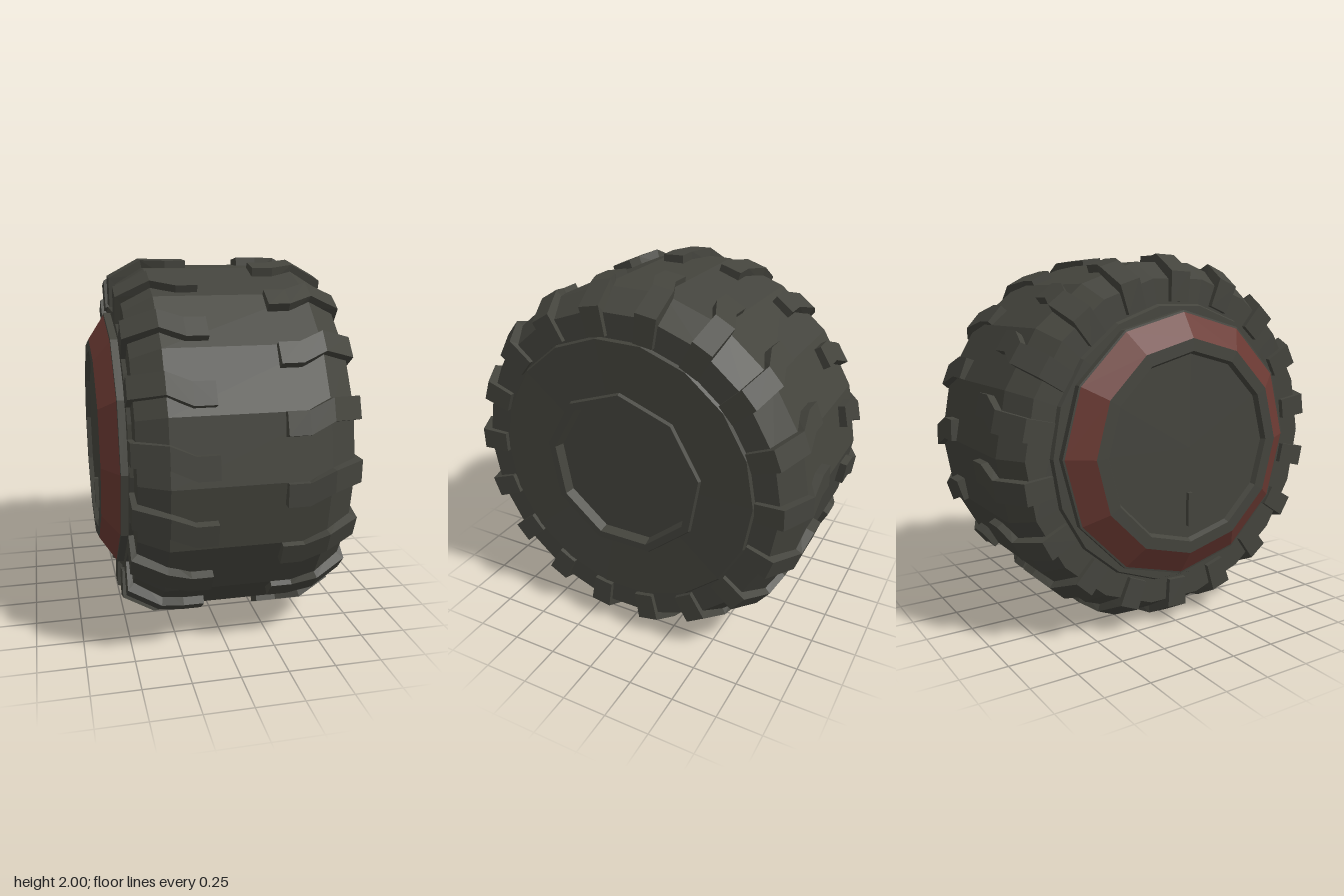
import * as THREE from 'three';

const rubber = new THREE.MeshStandardMaterial({ color: 0x44443d });
rubber.name = 'dark rubber';
const red = new THREE.MeshStandardMaterial({ color: 0x6c3a33 });
red.name = 'rim red';

// Faceted solid of revolution about the x axis; profile is [radius, x] from -x to +x
function turned(name, profile, sides, material, start = 0) {
  const points = profile.map(([r, x]) => new THREE.Vector2(r, x));
  const geometry = new THREE.LatheGeometry(points, sides, start).rotateZ(-Math.PI / 2).toNonIndexed();
  geometry.computeVertexNormals();
  const mesh = new THREE.Mesh(geometry, material);
  mesh.name = name;
  return mesh;
}

// Kinked tread lug swept over the shoulder and down the sidewall (radial = +z)
function lugGeometry(side) {
  // outer x, outer radius, inner x, inner radius, sideways shift, half width
  const stations = [
    [0.22, 0.998, 0.22, 0.92, -0.035, 0.059],
    [0.33, 0.998, 0.33, 0.92, -0.035, 0.059],
    [0.455, 0.998, 0.44, 0.92, 0.022, 0.057],
    [0.625, 0.905, 0.56, 0.84, 0.032, 0.058],
    [0.622, 0.75, 0.56, 0.75, 0.032, 0.054],
  ];
  const place = (x) => (side > 0 ? x : 0.11 - x);
  const rings = stations.map(([xo, ro, xi, ri, t, w]) => [
    [place(xo), t - w, ro], [place(xo), t + w, ro],
    [place(xi), t + w, ri], [place(xi), t - w, ri],
  ]);
  const positions = [];
  const quad = (a, b, c, d) => {
    const corners = side > 0 ? [a, b, c, a, c, d] : [a, c, b, a, d, c];
    corners.forEach((p) => positions.push(...p));
  };
  for (let i = 0; i < rings.length - 1; i++) {
    for (let j = 0; j < 4; j++) {
      const k = (j + 1) % 4;
      quad(rings[i][j], rings[i + 1][j], rings[i + 1][k], rings[i][k]);
    }
  }
  quad(...rings[0]);
  quad(...[...rings[rings.length - 1]].reverse());
  const geometry = new THREE.BufferGeometry();
  geometry.setAttribute('position', new THREE.Float32BufferAttribute(positions, 3));
  geometry.computeVertexNormals();
  return geometry;
}

export function createModel() {
  const wheel = new THREE.Group();
  wheel.name = 'wheel';

  // Tyre carcass with chamfered shoulders
  wheel.add(turned('tyre', [
    [0.6, -0.505], [0.74, -0.505], [0.75, -0.485], [0.88, -0.485], [0.97, -0.34],
    [0.97, 0.45], [0.88, 0.597], [0.75, 0.597], [0.74, 0.612], [0.43, 0.607],
  ], 18, rubber));

  // Two staggered rows of lugs
  for (const [name, side, offset] of [['leftLugs', 1, -1.4], ['rightLugs', -1, 7.9]]) {
    const row = new THREE.Group();
    row.name = name;
    const geometry = lugGeometry(side);
    for (let i = 0; i < 18; i++) {
      const lug = new THREE.Mesh(geometry, rubber);
      lug.name = 'lug';
      lug.rotation.x = -THREE.MathUtils.degToRad(offset + i * 20);
      row.add(lug);
    }
    wheel.add(row);
  }

  // Nine-sided recessed socket on the inner face
  wheel.add(turned('axleSocket', [
    [0.47, 0.6], [0.458, 0.625], [0.415, 0.625], [0.402, 0.57], [0, 0.57],
  ], 9, rubber, -Math.PI / 2));

  // Outer rim: recessed hub plate with lip, red cone, dark flange
  wheel.add(turned('hubPlate', [
    [0, -0.605], [0.49, -0.605], [0.505, -0.632], [0.57, -0.63],
  ], 12, rubber));
  wheel.add(turned('rimCone', [[0.57, -0.63], [0.7, -0.545]], 12, red));
  wheel.add(turned('rimFlange', [[0.7, -0.545], [0.71, -0.543], [0.71, -0.5]], 12, rubber));

  // Valve stem on the hub plate
  const valve = new THREE.Mesh(new THREE.BoxGeometry(0.03, 0.18, 0.03), rubber);
  valve.name = 'valve';
  valve.position.set(-0.612, -0.33, 0);
  wheel.add(valve);

  wheel.position.y = 1;
  const model = new THREE.Group();
  model.name = 'offRoadWheel';
  model.add(wheel);
  return model;
}
